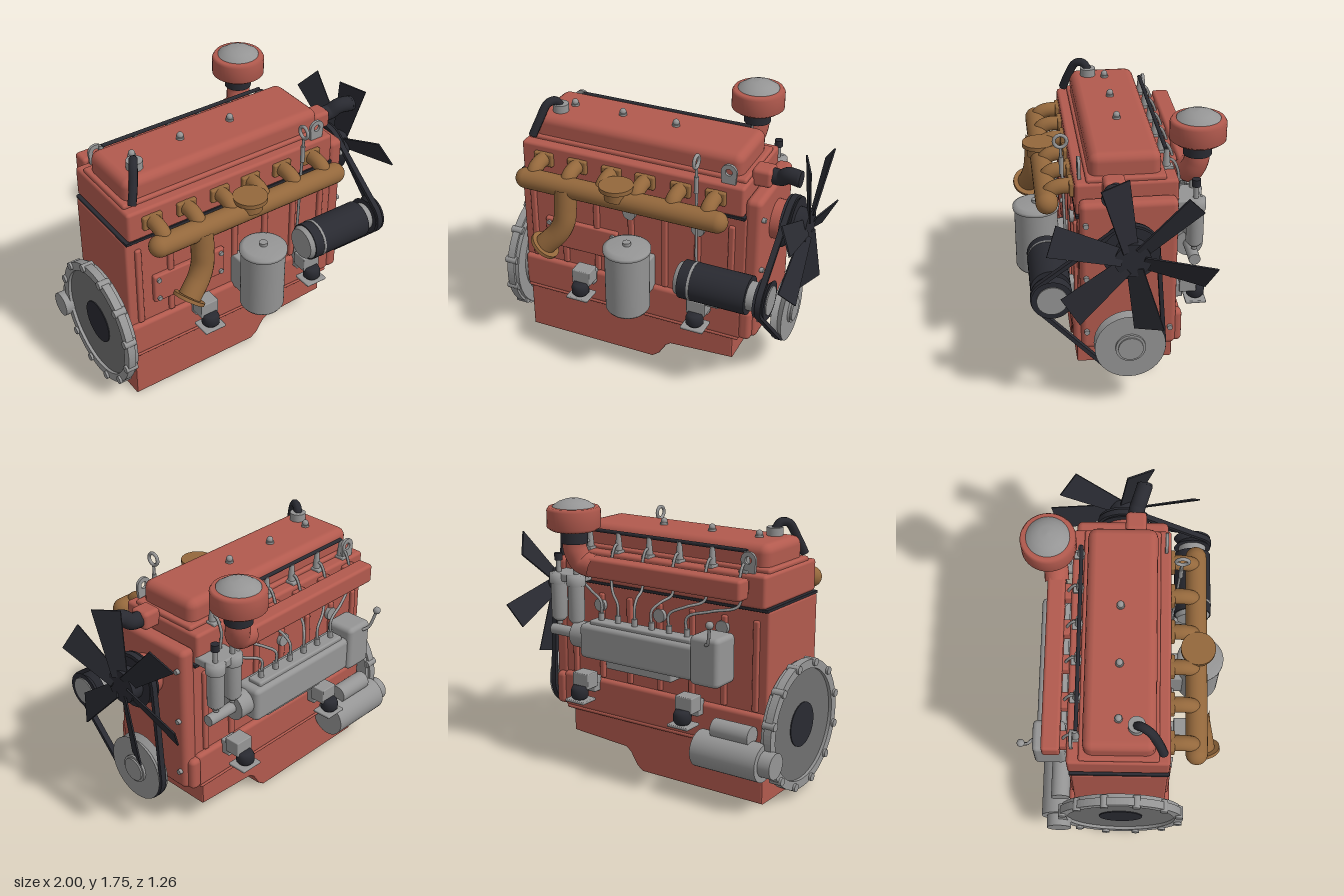
import * as THREE from 'three';
import { RoundedBoxGeometry } from 'three/addons/geometries/RoundedBoxGeometry.js';

const V = (x, y, z) => new THREE.Vector3(x, y, z);
const paint = (name, color) => Object.assign(new THREE.MeshStandardMaterial({ color }), { name });

export function createModel() {
  const root = new THREE.Group();
  root.name = 'engine';
  const red = paint('engineRed', 0xb25a4e), grey = paint('bareMetal', 0x959595);
  const dark = paint('blackRubber', 0x292a31), brown = paint('rustyIron', 0x94683c);
  const steel = paint('darkSteel', 0x707070);
  grey.side = red.side = THREE.FrontSide;

  // Helpers: mesh, box by limits, cylinder by axis and limits, tube through points
  const add = (name, geo, mat, x = 0, y = 0, z = 0) => {
    const m = new THREE.Mesh(geo, mat);
    m.name = name;
    m.position.set(x, y, z);
    root.add(m);
    return m;
  };
  const box = (name, mat, x0, x1, y0, y1, z0, z1, r = 0.012) =>
    add(name, new RoundedBoxGeometry(x1 - x0, y1 - y0, z1 - z0, 2, r), mat, (x0 + x1) / 2, (y0 + y1) / 2, (z0 + z1) / 2);
  const cylX = (name, mat, x0, x1, y, z, r, r2 = r) =>
    add(name, new THREE.CylinderGeometry(r2, r, x1 - x0, 36).rotateZ(-Math.PI / 2), mat, (x0 + x1) / 2, y, z);
  const cylY = (name, mat, x, z, y0, y1, r, r2 = r) =>
    add(name, new THREE.CylinderGeometry(r2, r, y1 - y0, 32), mat, x, (y0 + y1) / 2, z);
  const cylZ = (name, mat, x, y, z0, z1, r) =>
    add(name, new THREE.CylinderGeometry(r, r, z1 - z0, 20).rotateX(Math.PI / 2), mat, x, y, (z0 + z1) / 2);
  const tube = (name, mat, r, pts, seg = 24) =>
    add(name, new THREE.TubeGeometry(new THREE.CatmullRomCurve3(pts.map(p => V(...p))), seg, r, r > 0.03 ? 20 : 8), mat);
  const lathe = (name, mat, pts, x, y, z) =>
    add(name, new THREE.LatheGeometry(pts.map(p => new THREE.Vector2(...p)), 40), mat, x, y, z);

  // Oil pan with a shallow front end
  const pan = new THREE.Shape([[-0.84, 0.01], [0.04, 0.01], [0.08, 0.04], [0.13, 0.12], [0.17, 0.15], [0.59, 0.175], [0.59, 0.33], [-0.84, 0.33]]
    .map(p => new THREE.Vector2(...p)));
  add('oilPan', new THREE.ExtrudeGeometry(pan, { depth: 0.57, bevelSize: 0.01, bevelThickness: 0.01, bevelSegments: 2 }), red, 0, 0, -0.295);

  // Crankcase, block, gasket and head
  box('panRail', red, -0.86, 0.64, 0.325, 0.35, -0.335, 0.305);
  box('crankcase', red, -0.87, 0.66, 0.34, 0.575, -0.335, 0.305, 0.025);
  box('block', red, -0.87, 0.66, 0.55, 1.2, -0.3, 0.275, 0.015);
  box('headGasket', dark, -0.865, 0.65, 1.193, 1.213, -0.31, 0.285, 0.004);
  box('cylinderHead', red, -0.85, 0.64, 1.21, 1.41, -0.32, 0.285, 0.02);
  for (const x of [-0.79, -0.57, -0.34, -0.1, 0.13, 0.35, 0.57]) {
    box('frontRib', red, x - 0.02, x + 0.02, 0.58, 1.14, 0.25, 0.295);
    box('rearRib', red, x - 0.02, x + 0.02, 0.58, 1.14, -0.32, -0.28);
  }
  for (const x of [-0.56, -0.105, 0.355]) {
    cylZ('corePlug', grey, x, 1.065, 0.27, 0.3, 0.042);
    cylZ('rearCorePlug', grey, x, 1.065, -0.325, -0.29, 0.042);
  }
  box('sideCover', red, -0.7, -0.19, 0.7, 0.9, 0.26, 0.305);
  for (const x of [-0.67, -0.22]) for (const y of [0.73, 0.87]) cylZ('sideCoverBolt', grey, x, y, 0.3, 0.318, 0.015);

  // Valve cover, studs and breather hose
  box('valveCoverFlange', red, -0.835, 0.625, 1.4, 1.435, -0.25, 0.22, 0.015);
  box('valveCover', red, -0.805, 0.59, 1.38, 1.565, -0.225, 0.2, 0.055);
  for (const x of [-0.625, -0.29, 0.07]) {
    cylY('coverWasher', grey, x, -0.02, 1.56, 1.578, 0.025);
    add('coverNut', new THREE.SphereGeometry(0.021, 16, 10), grey, x, 1.588, -0.02);
  }
  cylY('breather', grey, -0.67, 0.085, 1.55, 1.615, 0.05);
  tube('breatherHose', dark, 0.027, [[-0.675, 1.6, 0.085], [-0.69, 1.64, 0.11], [-0.72, 1.635, 0.16], [-0.755, 1.54, 0.21], [-0.79, 1.44, 0.245]]);

  // Lifting eyes
  const eye = new THREE.Shape().absarc(0, 0, 0.05, 0, Math.PI, false);
  eye.lineTo(-0.04, -0.12); eye.lineTo(0.04, -0.12);
  eye.holes.push(new THREE.Path().absarc(0, 0, 0.022, 0, Math.PI * 2, true));
  for (const [x, z] of [[0.53, 0.245], [-0.72, -0.3]])
    add('liftingEye', new THREE.ExtrudeGeometry(eye, { depth: 0.018, bevelEnabled: false }), grey, x, 1.485, z);

  // Timing cover, water pump and thermostat housing
  box('timingCover', red, 0.64, 0.745, 0.35, 1.33, -0.305, 0.27, 0.035);
  box('timingCoverFoot', red, 0.64, 0.72, 0.35, 0.565, -0.345, 0.315, 0.03);
  for (const y of [0.48, 0.85, 1.2]) for (const z of [-0.265, 0.235]) cylX('timingBolt', grey, 0.74, 0.765, y, z, 0.016);
  cylX('waterPump', red, 0.74, 0.83, 1.08, -0.01, 0.125);
  box('thermostatHousing', red, 0.62, 0.745, 1.35, 1.465, 0, 0.13, 0.025);
  tube('radiatorHose', dark, 0.05, [[0.72, 1.41, 0.06], [0.79, 1.415, 0.07], [0.84, 1.45, 0.09], [0.925, 1.455, 0.115]]);
  cylX('hoseEnd', dark, 0.91, 0.925, 1.455, 0.113, 0.05);

  // Pulleys
  for (const [name, y, z, r, mat] of [['crankPulley', 0.445, -0.01, 0.2, grey], ['fanPulley', 1.08, -0.01, 0.155, dark], ['alternatorPulley', 0.8, 0.445, 0.11, dark]]) {
    cylX(name + 'InnerRim', mat, 0.815, 0.85, y, z, r + 0.012, r - 0.02);
    cylX(name + 'OuterRim', mat, 0.85, 0.885, y, z, r - 0.02, r + 0.012);
  }
  cylX('crankShaftNose', grey, 0.72, 0.9, 0.445, -0.01, 0.09);
  cylX('crankBolt', grey, 0.89, 0.91, 0.445, -0.01, 0.075);
  cylX('alternatorHub', grey, 0.75, 0.892, 0.8, 0.445, 0.09);

  // Belt wrapped round the three pulleys with straight tangents
  const wheels = [[0.01, 0.445, 0.2], [0.01, 1.08, 0.155], [-0.445, 0.8, 0.11]];
  const loop = (path, grow) => {
    const c = wheels.map(([u, y, r]) => [u, y, r + grow]);
    const normal = (a, b) => Math.atan2(b[1] - a[1], b[0] - a[0]) - Math.acos((a[2] - b[2]) / Math.hypot(b[0] - a[0], b[1] - a[1]));
    c.forEach((w, i) => path.absarc(w[0], w[1], w[2], normal(c[(i + 2) % 3], w), normal(w, c[(i + 1) % 3]), false));
    return path;
  };
  const belt = loop(new THREE.Shape(), 0.016);
  belt.holes.push(loop(new THREE.Path(), -0.008));
  add('fanBelt', new THREE.ExtrudeGeometry(belt, { depth: 0.036, bevelEnabled: false, curveSegments: 24 }).rotateY(Math.PI / 2), dark, 0.832, 0, 0);

  // Fan with six twisted blades
  cylX('fanHub', dark, 0.88, 0.965, 1.08, -0.01, 0.105);
  const blade = new THREE.Shape([[-0.05, 0.06], [0.05, 0.06], [0.092, 0.475], [-0.092, 0.485]].map(p => new THREE.Vector2(...p)));
  const bladeGeo = new THREE.ExtrudeGeometry(blade, { depth: 0.01, bevelEnabled: false }).translate(0, 0, -0.005).rotateY(Math.PI / 2 + 0.45);
  for (let i = 0; i < 6; i++) add('fanBlade', bladeGeo, dark, 0.955, 1.08, -0.01).rotation.x = (12 + 60 * i) * Math.PI / 180;

  // Alternator
  cylX('alternatorBody', dark, 0.33, 0.76, 0.8, 0.445, 0.12);
  cylX('alternatorEnd', grey, 0.3, 0.335, 0.8, 0.445, 0.1, 0.115);
  cylX('alternatorBand', grey, 0.395, 0.41, 0.8, 0.445, 0.1225);
  box('alternatorBracket', grey, 0.46, 0.56, 0.63, 0.72, 0.29, 0.44);

  // Oil filter
  lathe('oilFilter', grey, [[0, 0], [0.125, 0], [0.138, 0.02], [0.138, 0.42], [0.148, 0.425], [0.148, 0.445], [0.12, 0.46], [0, 0.465]], -0.03, 0.505, 0.485);
  cylY('oilFilterBolt', grey, -0.03, 0.485, 0.96, 0.99, 0.025);
  box('oilFilterBase', grey, -0.12, 0.06, 0.55, 0.8, 0.26, 0.4);

  // Engine mounts
  for (const x of [-0.39, 0.405]) for (const s of [1, -1]) {
    const z = v => (s > 0 ? v : -v - 0.04);
    const slab = (name, w, y0, y1, a, b) => box(name, grey, x - w, x + w, y0, y1, Math.min(z(a), z(b)), Math.max(z(a), z(b)), 0.006);
    slab('mountBracket', 0.062, 0.54, 0.64, 0.33, 0.435);
    slab('mountArm', 0.05, 0.5, 0.6, 0.28, 0.35);
    lathe('mountRubber', dark, [[0, 0], [0.04, 0], [0.056, 0.02], [0.056, 0.06], [0.045, 0.085], [0, 0.085]], x, 0.475, z(0.44));
    slab('mountPlate', 0.075, 0.458, 0.476, 0.37, 0.5);
  }

  // Exhaust manifold, ports, flange and downpipe
  const log = new THREE.CapsuleGeometry(0.066, 1.27, 8, 24).rotateZ(Math.PI / 2);
  add('exhaustManifold', log, brown, -0.1, 1.25, 0.442);
  const ports = [-0.69, -0.455, -0.22, 0.005, 0.24, 0.465];
  for (const x of ports) {
    box('exhaustPortFlange', brown, x - 0.065, x + 0.065, 1.275, 1.365, 0.27, 0.31, 0.01);
    tube('exhaustPort', brown, 0.047, [[x, 1.32, 0.28], [x, 1.32, 0.36], [x, 1.3, 0.41], [x, 1.25, 0.44]], 14);
  }
  cylY('exhaustNeck', brown, -0.11, 0.45, 1.26, 1.34, 0.075);
  cylY('exhaustOutletFlange', brown, -0.11, 0.45, 1.325, 1.352, 0.105);
  tube('downpipe', brown, 0.07, [[-0.455, 1.25, 0.45], [-0.457, 1.12, 0.46], [-0.465, 1.02, 0.47], [-0.5, 0.94, 0.485], [-0.585, 0.845, 0.51]]);
  const flange = add('downpipeFlange', new THREE.CylinderGeometry(0.1, 0.1, 0.022, 28), brown, -0.59, 0.835, 0.512);
  flange.quaternion.setFromUnitVectors(V(0, 1, 0), V(0.62, 0.76, -0.18).normalize());

  // Dipstick
  tube('dipstick', grey, 0.009, [[0.36, 0.6, 0.31], [0.36, 0.9, 0.325], [0.36, 1.25, 0.335], [0.36, 1.52, 0.345]]);
  cylY('dipstickTube', grey, 0.36, 0.342, 1.35, 1.46, 0.014);
  add('dipstickRing', new THREE.TorusGeometry(0.038, 0.011, 10, 28).rotateY(Math.PI / 2), grey, 0.36, 1.56, 0.345);

  // Air cleaner and intake
  lathe('airCleaner', red, [[0, 0], [0.14, 0], [0.167, 0.02], [0.167, 0.125], [0.155, 0.145], [0, 0.145]], 0.44, 1.56, -0.455);
  lathe('airCleanerCap', grey, [[0.13, 0], [0.13, 0.012], [0.09, 0.038], [0.05, 0.052], [0, 0.056]], 0.44, 1.698, -0.455);
  cylY('airCleanerNeck', dark, 0.44, -0.455, 1.48, 1.57, 0.085);
  tube('intakeElbow', red, 0.075, [[0.44, 1.51, -0.455], [0.44, 1.44, -0.45], [0.41, 1.36, -0.425], [0.32, 1.335, -0.415]]);
  box('intakeManifold', red, -0.77, 0.35, 1.275, 1.4, -0.47, -0.36, 0.02);
  for (const x of ports.slice(0, 5)) box('intakePort', red, x - 0.05, x + 0.05, 1.29, 1.38, -0.38, -0.3);

  // Injection pump and governor
  box('injectionPump', grey, -0.5, 0.36, 0.77, 0.99, -0.53, -0.35, 0.03);
  box('pumpTopRail', grey, -0.46, 0.3, 0.97, 1.015, -0.5, -0.4);
  cylX('pumpDrive', grey, 0.35, 0.46, 0.885, -0.42, 0.085);
  cylX('pumpShaft', grey, 0.45, 0.66, 0.885, -0.42, 0.035);
  box('governor', grey, -0.68, -0.48, 0.76, 1.06, -0.55, -0.35, 0.03);
  box('pumpFoot', grey, -0.3, 0.2, 0.71, 0.8, -0.47, -0.28);
  tube('throttleLever', grey, 0.01, [[-0.6, 1.02, -0.55], [-0.63, 1.04, -0.575], [-0.66, 1.15, -0.605]]);
  add('throttleKnob', new THREE.SphereGeometry(0.024, 16, 12), grey, -0.662, 1.16, -0.607);

  // Injectors, fuel lines and leak-off rail
  ports.forEach((x, i) => {
    const px = -0.4 + i * 0.128;
    cylY('pumpOutlet', grey, px, -0.45, 1, 1.06, 0.018);
    tube('injectionLine', grey, 0.009, [[px, 1.03, -0.45], [px, 1.13, -0.45], [(px + x) / 2, 1.18, -0.41], [x, 1.22, -0.345], [x, 1.38, -0.34], [x, 1.46, -0.3], [x, 1.46, -0.27]], 40);
    cylY('injector', grey, x, -0.268, 1.4, 1.53, 0.026, 0.014);
    box('injectorClamp', grey, x - 0.03, x + 0.03, 1.4, 1.425, -0.31, -0.24, 0.006);
  });
  cylX('leakOffRail', dark, -0.69, 0.47, 1.53, -0.262, 0.012);

  // Twin fuel filters
  box('fuelFilterHead', grey, 0.42, 0.64, 1.215, 1.27, -0.46, -0.29);
  for (const x of [0.46, 0.6]) {
    lathe('fuelFilter', grey, [[0, 0], [0.03, 0], [0.052, 0.025], [0.052, 0.24], [0.06, 0.245], [0.06, 0.31], [0, 0.315]], x, 0.955, -0.425);
    cylY('fuelFilterStem', grey, x, -0.425, 1.26, 1.36, 0.016);
    cylY('fuelFilterDrain', grey, x, -0.425, 0.93, 0.96, 0.018);
  }
  cylY('fuelFilterCap', dark, 0.6, -0.425, 1.345, 1.39, 0.026);

  // Flywheel housing
  const ring = new THREE.Shape().absarc(0, 0, 0.405, 0, Math.PI * 2, false);
  ring.holes.push(new THREE.Path().absarc(0, 0, 0.35, 0, Math.PI * 2, true));
  add('flywheelRing', new THREE.ExtrudeGeometry(ring, { depth: 0.05, bevelEnabled: false, curveSegments: 48 }).rotateY(Math.PI / 2), grey, -0.96, 0.445, -0.005);
  cylX('flywheelHousing', grey, -0.925, -0.885, 0.445, -0.005, 0.39);
  cylX('housingNeck', grey, -0.9, -0.86, 0.445, -0.005, 0.3);
  cylX('flywheelFace', steel, -0.94, -0.92, 0.445, -0.005, 0.352);
  cylX('flywheelCentre', dark, -0.946, -0.93, 0.445, -0.005, 0.14);
  for (let i = 0; i < 12; i++) {
    const a = (i + 0.5) * Math.PI / 6;
    cylX('housingBolt', grey, -0.975, -0.895, 0.445 + 0.388 * Math.sin(a), -0.005 + 0.388 * Math.cos(a), 0.025);
  }

  // Starter motor
  cylX('starterBody', grey, -0.92, -0.47, 0.32, -0.41, 0.115);
  cylX('starterNose', grey, -1, -0.91, 0.32, -0.41, 0.08);
  cylX('starterSolenoid', grey, -0.83, -0.57, 0.465, -0.4, 0.06);
  box('starterNeck', grey, -0.8, -0.6, 0.38, 0.46, -0.44, -0.36);
  return root;
}
